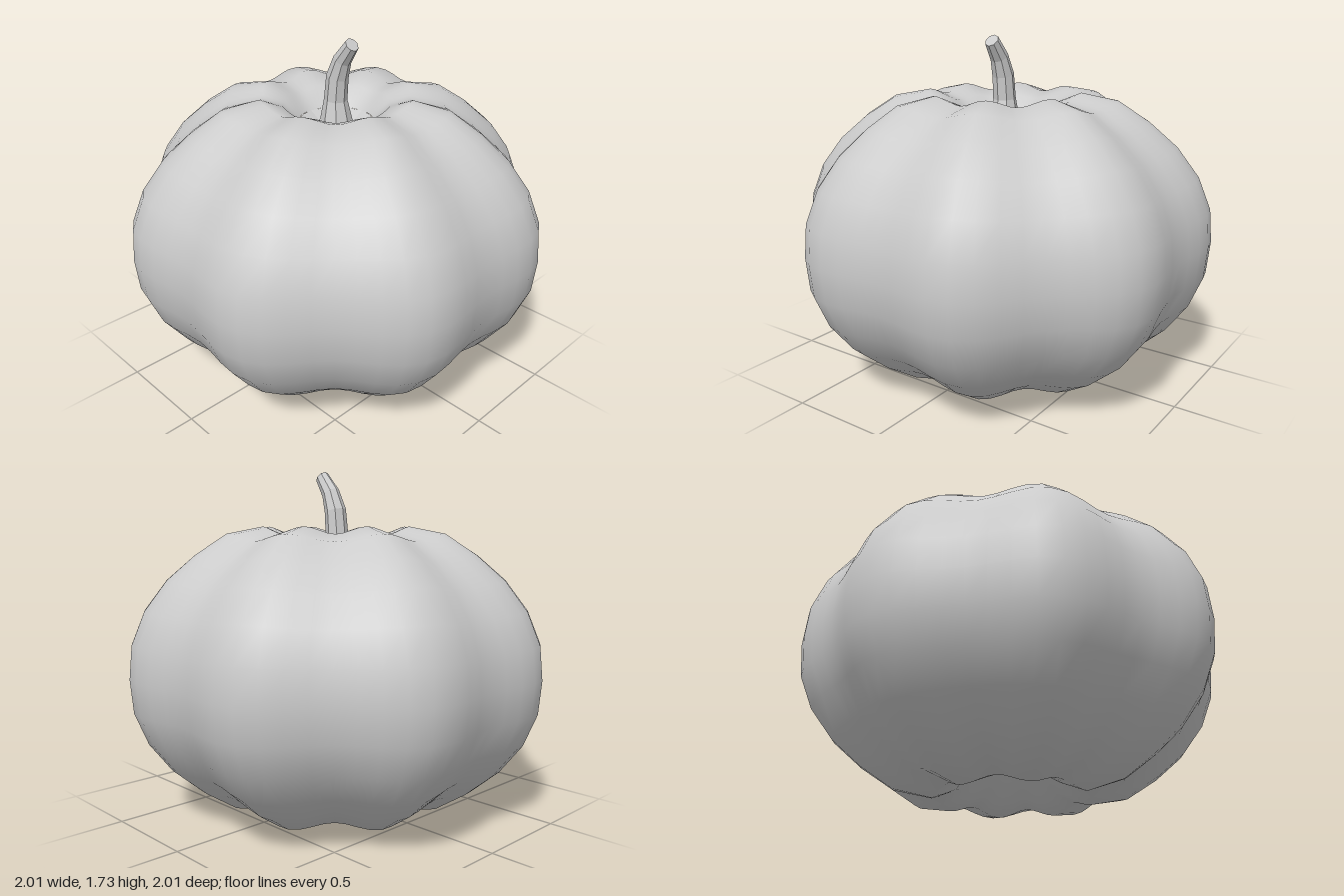
import * as THREE from 'three';

// Skin a stack of closed rings; point(i, a) gives the vertex of ring i at angle a.
function loft(rings, sides, point) {
  const pos = [], idx = [];
  for (let i = 0; i < rings; i++) {
    for (let j = 0; j < sides; j++) {
      pos.push(...point(i, (j / sides) * Math.PI * 2));
    }
  }
  for (let i = 0; i < rings - 1; i++) {
    for (let j = 0; j < sides; j++) {
      const k = (j + 1) % sides;
      const a = i * sides + j, b = i * sides + k;
      idx.push(a, a + sides, b, b, a + sides, b + sides);
    }
  }
  const geo = new THREE.BufferGeometry();
  geo.setAttribute('position', new THREE.Float32BufferAttribute(pos, 3));
  geo.setIndex(idx);
  geo.computeVertexNormals();
  return geo;
}

export function createModel() {
  const group = new THREE.Group();
  const smooth = new THREE.MeshStandardMaterial({ color: 0xcccccc });
  const faceted = new THREE.MeshStandardMaterial({ color: 0xcccccc, flatShading: true });
  const add = (name, geo, mat) => {
    const mesh = new THREE.Mesh(geo, mat);
    mesh.name = name;
    group.add(mesh);
  };

  // Upper half of the ridge profile: radius, height above the middle
  const mid = 0.725;
  const upper = [
    [1.06, 0], [1.045, 0.165], [0.98, 0.325], [0.87, 0.47], [0.73, 0.59],
    [0.575, 0.69], [0.39, 0.725], [0.27, 0.675], [0.185, 0.58],
  ];
  const lower = upper.slice(1).reverse().map(([r, y]) => [r, -y]);
  const profile = [[0, -0.52], [0.09, -0.53], ...lower, ...upper];

  // Body: eight lobes, with valleys on the axes and diagonals fading into the dimples
  add('body', loft(profile.length, 64, (i, a) => {
    const [r, y] = profile[i];
    const valley = (1 + Math.cos(8 * a)) / 2;
    const fade = THREE.MathUtils.smoothstep(r, 0.15, 0.4);
    const s = r * (1 - 0.075 * valley * fade);
    return [s * Math.cos(a), mid + y * (1 - 0.05 * valley * fade), s * Math.sin(a)];
  }), smooth);

  // Small faceted bowl at the bottom of the top dimple
  const bowl = [[0.185, 1.305], [0.11, 1.26], [0, 1.255]];
  add('stemSocket', loft(bowl.length, 16, (i, a) => {
    const [r, y] = bowl[i];
    return [r * Math.cos(a), y, r * Math.sin(a)];
  }), faceted);

  // Stem: flared foot, bending towards +x; each ring is x, y, radius, tilt
  const stem = [
    [0, 1.26, 0.115, 0], [0, 1.31, 0.08, 0], [-0.004, 1.41, 0.058, 0.05],
    [0.008, 1.53, 0.055, 0.25], [0.042, 1.62, 0.046, 0.55],
    [0.105, 1.703, 0.036, 0.8], [0.105, 1.703, 0, 0.8],
  ];
  add('stem', loft(stem.length, 8, (i, a) => {
    const [x, y, r, tilt] = stem[i];
    const c = r * Math.cos(a);
    return [x + c * Math.cos(tilt), y - c * Math.sin(tilt), r * Math.sin(a)];
  }), faceted);

  return group;
}
